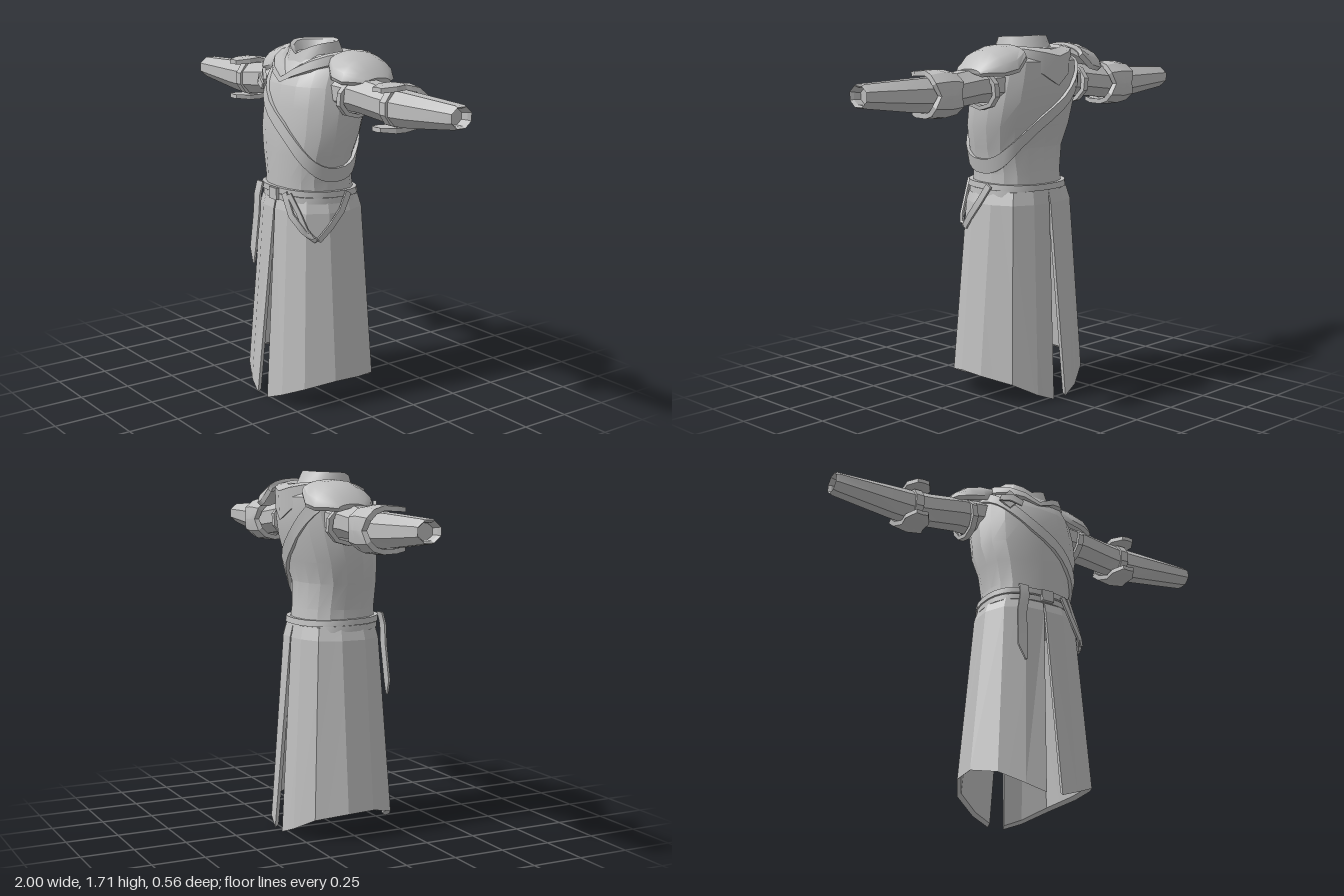
import * as THREE from 'three';
import { toCreasedNormals } from 'three/addons/utils/BufferGeometryUtils.js';

const cloth = new THREE.MeshStandardMaterial({ color: 0xbfbfbf, side: THREE.DoubleSide });
cloth.name = 'grey cloth';

// Skin closed cross-sections (arrays of [x, y, z]) into one surface.
function loft(name, rings, { loop = false, capStart = false, capEnd = false, crease = 0.45 } = {}) {
  const n = rings[0].length, pos = rings.flat(2), idx = [];
  const last = loop ? rings.length : rings.length - 1;
  for (let i = 0; i < last; i++) {
    const a = i * n, b = ((i + 1) % rings.length) * n;
    for (let j = 0; j < n; j++) {
      const k = (j + 1) % n;
      idx.push(a + j, a + k, b + k, a + j, b + k, b + j);
    }
  }
  const cap = (ring, start, flip) => {
    const c = pos.length / 3;
    for (let d = 0; d < 3; d++) pos.push(ring.reduce((s, p) => s + p[d], 0) / n);
    for (let j = 0; j < n; j++) {
      const u = start + j, v = start + (j + 1) % n;
      if (flip) idx.push(c, v, u); else idx.push(c, u, v);
    }
  };
  if (capStart) cap(rings[0], 0, true);
  if (capEnd) cap(rings[rings.length - 1], (rings.length - 1) * n, false);
  const g = new THREE.BufferGeometry();
  g.setAttribute('position', new THREE.Float32BufferAttribute(pos, 3));
  g.setIndex(idx);
  const mesh = new THREE.Mesh(toCreasedNormals(g, crease), cloth);
  mesh.name = name;
  return mesh;
}
const both = { capStart: true, capEnd: true };
const range = (n, f) => Array.from({ length: n }, (_, i) => f(i));
const lerp = THREE.MathUtils.lerp;
const spow = (v, e) => Math.sign(v) * Math.abs(v) ** e;

// Torso profile: y, half width, front z, back z
const body = [
  [0.96, 0.22, 0.19, -0.19], [1.08, 0.21, 0.19, -0.175], [1.2, 0.235, 0.193, -0.17],
  [1.3, 0.262, 0.19, -0.2], [1.42, 0.262, 0.18, -0.235], [1.52, 0.25, 0.16, -0.25],
  [1.6, 0.235, 0.115, -0.25], [1.66, 0.16, 0.06, -0.21],
];
// Point on the torso at an angle (0 = front) and height, pushed out by off.
function onBody(t, y, off = 0) {
  let i = 0;
  while (i < body.length - 2 && y > body[i + 1][0]) i++;
  const a = body[i], b = body[i + 1];
  const k = THREE.MathUtils.clamp((y - a[0]) / (b[0] - a[0]), 0, 1);
  const [w, f, r] = [1, 2, 3].map(d => lerp(a[d], b[d], k));
  return [(w + off) * spow(Math.sin(t), 0.85), y,
    (f + r) / 2 + ((f - r) / 2 + off) * spow(Math.cos(t), 0.85)];
}
// Belt wrapped round the torso; its height follows yAt(angle).
function wrap(name, yAt, half, off, n = 28) {
  return loft(name, range(n, i => {
    const t = i / n * Math.PI * 2, y = yAt(t);
    return [onBody(t, y - half, off), onBody(t, y + half, off),
      onBody(t, y + half, off - 0.02), onBody(t, y - half, off - 0.02)];
  }), { loop: true });
}
// Flat strap along points [x, y, z, halfWidth]; across and out are directions.
function strip(name, pts, across, out, thick = 0.01) {
  return loft(name, pts.map(([x, y, z, h]) =>
    [[-1, 0], [1, 0], [1, 1], [-1, 1]].map(([u, v]) =>
      [x, y, z].map((c, d) => c + across[d] * h * u + out[d] * thick * v))), both);
}
// Elliptical section across the arm
const armRing = (s, x, y, z, ry, rz, n = 8) => range(n, i => {
  const t = (i + 0.5) / n * Math.PI * 2;
  return [s * x, y + ry * 1.06 * Math.sin(t), z + rz * 1.06 * Math.cos(t)];
});

function skirtPanel(s) {
  // Columns round one side: waist x, z, hem x, z, hem height
  const cols = [
    [0.004, 0.205, 0.04, 0.28, 0.02], [0.1, 0.2, 0.13, 0.255, 0.055], [0.19, 0.155, 0.24, 0.2, 0.105],
    [0.24, 0.06, 0.31, 0.07, 0.14], [0.24, -0.06, 0.31, -0.06, 0.135], [0.195, -0.16, 0.24, -0.2, 0.105],
    [0.1, -0.205, 0.13, -0.26, 0.045], [0.004, -0.212, 0.04, -0.28, 0.01],
  ];
  return loft('skirtPanel', cols.map(([wx, wz, hx, hz, hy]) => [
    [s * wx * 0.92, 1.0, wz * 0.93], [s * wx, 0.94, wz], [s * hx, hy, hz],
    [s * hx * 0.94, hy + 0.015, hz * 0.94], [s * wx * 0.92, 0.94, wz * 0.92], [s * wx * 0.86, 1.0, wz * 0.87],
  ]), { ...both, crease: 0.15 });
}

function arm(s) {
  const g = new THREE.Group();
  g.name = s > 0 ? 'leftArm' : 'rightArm';
  // Sleeve, turned inward at the cuff
  g.add(loft('sleeve', [
    [0.18, 1.5, -0.05, 0.085, 0.1], [0.35, 1.495, -0.05, 0.078, 0.085], [0.5, 1.478, -0.055, 0.077, 0.076],
    [0.6, 1.468, -0.057, 0.08, 0.074], [0.7, 1.47, -0.055, 0.075, 0.071], [0.985, 1.482, -0.052, 0.052, 0.062],
    [1.0, 1.482, -0.052, 0.046, 0.056], [0.985, 1.482, -0.052, 0.038, 0.047], [0.95, 1.48, -0.052, 0.036, 0.045],
  ].map(r => armRing(s, ...r)), { capEnd: true }));
  // Straps at armhole and elbow
  const cuff = (name, x, y, ry, rz, h, lean) => g.add(loft(name, [
    [-h, 0.8], [-h, 1], [h, 1], [h, 0.8],
  ].map(([d, k]) => armRing(s, x + d, y, -0.055, ry * k, rz * k, 10)
    .map(p => [p[0] + s * lean * (p[1] - y), p[1], p[2]])), {}));
  cuff('armholeStrap', 0.3, 1.478, 0.09, 0.11, 0.014, 0.12);
  cuff('elbowStrap', 0.58, 1.47, 0.085, 0.083, 0.02, 0);

  // Elbow guard wrapping the back of the arm: y, z, half width, ridge push
  const half = [[0.095, 0.06, 0.03], [0.102, 0.0, 0.062], [0.105, -0.06, 0.055],
    [0.09, -0.12, 0.075], [0.055, -0.16, 0.082]];
  const path = [...half, [0, -0.172, 0.06], ...half.map(([y, z, w]) => [-y, z, w]).reverse()];
  g.add(loft('elbowGuard', path.map(([y, z, w]) => {
    const m = z < -0.1 ? 1.1 : 1.03;
    const p = (dx, k) => [s * (0.58 + dx), 1.47 + y * k, -0.055 + (z + 0.055) * (z < -0.055 ? k : 1)];
    return [p(-w, 1), p(0, m), p(w, 1), p(w, 0.78), p(0, 0.82), p(-w, 0.78)];
  }), both));

  // Domed shoulder plate: x, top y, edge y, front z, back z
  g.add(loft('shoulderPlate', [
    [0.19, 1.68, 1.63, 0.03, -0.24], [0.25, 1.678, 1.575, 0.06, -0.252], [0.32, 1.655, 1.56, 0.055, -0.24],
    [0.375, 1.61, 1.56, 0.02, -0.2], [0.402, 1.575, 1.555, -0.02, -0.16],
  ].map(([x, top, edge, f, b]) => {
    const arc = (drop, k) => range(9, i => {
      const t = i / 8 * Math.PI;
      return [s * (x - drop), edge + (top - edge) * Math.sin(t) - drop, (f + b) / 2 + (f - b) / 2 * k * Math.cos(t)];
    });
    return [...arc(0, 1), ...arc(0.016, 0.93).reverse()];
  }), { ...both, crease: 0.7 }));
  return g;
}

// Draped collar: side half width, front z, back z, side y, front y, back y
function collar() {
  const ring = ([w, f, b, ys, yf, yb]) => range(16, i => {
    const t = i / 16 * Math.PI * 2, c = Math.cos(t), k = 1 - Math.abs(Math.sin(t));
    return [w * Math.sin(t), lerp(ys, c > 0 ? yf : yb, k), (f + b) / 2 + (f - b) / 2 * c];
  });
  return loft('collar', [
    [0.195, 0.15, -0.25, 1.6, 1.54, 1.5], [0.215, 0.172, -0.265, 1.625, 1.53, 1.49],
    [0.2, 0.165, -0.27, 1.668, 1.555, 1.625], [0.165, 0.13, -0.22, 1.672, 1.565, 1.655],
    [0.135, 0.105, -0.165, 1.655, 1.58, 1.655], [0.122, 0.083, -0.135, 1.712, 1.655, 1.718],
    [0.105, 0.065, -0.12, 1.705, 1.645, 1.708], [0.07, 0.035, -0.09, 1.64, 1.62, 1.64],
  ].map(ring), { capEnd: true });
}

export function createModel() {
  const model = new THREE.Group();
  model.name = 'tunic';
  model.add(loft('torso', body.map(([y]) => range(18, i => onBody(i / 18 * Math.PI * 2, y))), { ...both, crease: 0.35 }));
  model.add(collar());
  for (const s of [1, -1]) model.add(arm(s), skirtPanel(s));

  // Sash from right shoulder to left hip, and the double belt
  model.add(wrap('chestStrap', t => 1.36 - 0.245 * Math.sin(t), 0.034, 0.014, 36));
  model.add(wrap('upperBelt', t => 1.024 + 0.008 * Math.cos(t), 0.014, 0.018));
  model.add(wrap('lowerBelt', t => 0.994 + 0.006 * Math.cos(t), 0.014, 0.012));

  // Buckles
  const buckle = (name, x, y, z, w, h, rz, ry) => {
    const m = new THREE.Mesh(new THREE.BoxGeometry(w, h, 0.016), cloth);
    m.name = name;
    m.position.set(x, y, z);
    m.rotation.set(0, ry, rz);
    model.add(m);
  };
  buckle('beltBuckle', 0.01, 1.015, 0.212, 0.06, 0.055, 0, 0);
  buckle('chestBuckle', -0.16, 1.53, 0.15, 0.07, 0.07, -0.75, -0.5);
  model.add(strip('chestStrapEnd', [[-0.21, 1.53, 0.14, 0.018], [-0.16, 1.525, 0.172, 0.02], [-0.11, 1.5, 0.185, 0.016]],
    [0.3, 0.9, 0], [-0.2, 0, 1]));

  // Hanging belt end and the looped side strap
  model.add(strip('beltEnd', [[-0.115, 1.05, 0.2, 0.024], [-0.117, 0.99, 0.215, 0.024], [-0.13, 0.9, 0.212, 0.024],
    [-0.135, 0.72, 0.23, 0.024], [-0.122, 0.65, 0.237, 0.004]], [1, 0, 0], [0, 0, 1]));
  model.add(strip('sideLoopFront', [[0.09, 1.03, 0.205, 0.016], [0.14, 0.93, 0.2, 0.016], [0.2, 0.86, 0.17, 0.016],
    [0.232, 0.815, 0.12, 0.014]], [0.75, 0.5, -0.3], [0.4, 0, 0.9]));
  model.add(strip('sideLoopBack', [[0.232, 0.815, 0.12, 0.014], [0.248, 0.88, 0.06, 0.016], [0.25, 0.95, 0.0, 0.016],
    [0.235, 1.03, -0.05, 0.016]], [0, 0.5, 0.85], [1, 0, 0.1]));
  model.add(strip('sideLoopInner', [[0.12, 1.03, 0.2, 0.012], [0.165, 0.95, 0.18, 0.012], [0.205, 0.87, 0.165, 0.012],
    [0.23, 0.83, 0.14, 0.01]], [0.8, 0.4, -0.4], [0.5, 0, 0.85]));
  return model;
}
